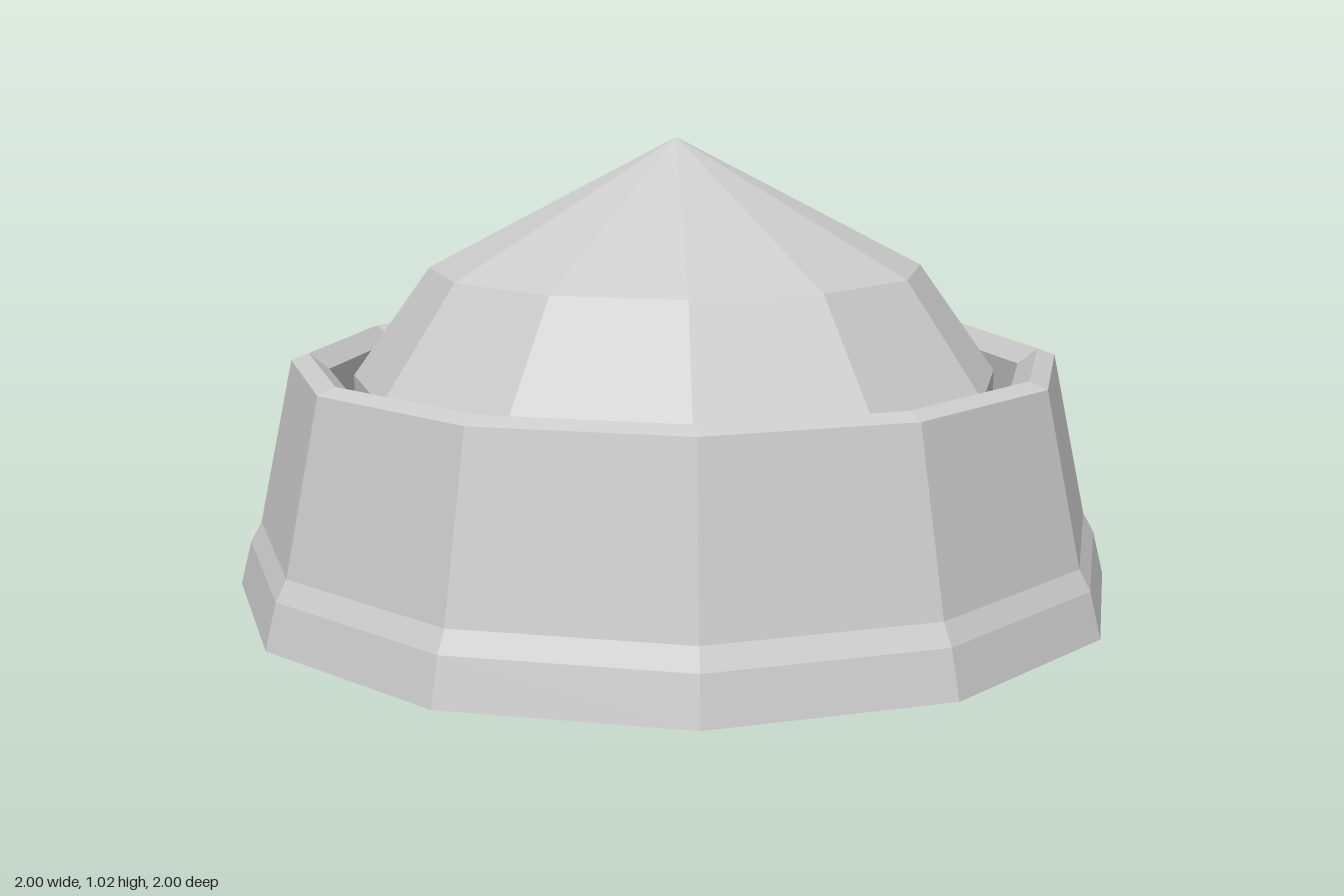
import * as THREE from 'three';

const SIDES = 12;

// Faceted solid of revolution from [radius, height] pairs, listed from the bottom up the outside
function turned(name, profile, material) {
  const points = profile.map(([r, y]) => new THREE.Vector2(r, y));
  const mesh = new THREE.Mesh(new THREE.LatheGeometry(points, SIDES), material);
  mesh.name = name;
  return mesh;
}

export function createModel() {
  const group = new THREE.Group();
  group.name = 'domedCap';
  const material = new THREE.MeshStandardMaterial({ color: 0xcccccc, flatShading: true });

  // Base with a flared foot, tapering wall, bevelled rim and sunken groove
  group.add(turned('base', [
    [0, 0], [1, 0],
    [0.975, 0.1], [0.95, 0.145],
    [0.87, 0.52], [0.83, 0.535],
    [0.785, 0.5], [0.785, 0.38],
    [0.73, 0.38],
  ], material));

  // Dome rising out of the groove to a point
  group.add(turned('dome', [
    [0.73, 0.38], [0.73, 0.485],
    [0.555, 0.73], [0, 1.02],
  ], material));

  return group;
}
